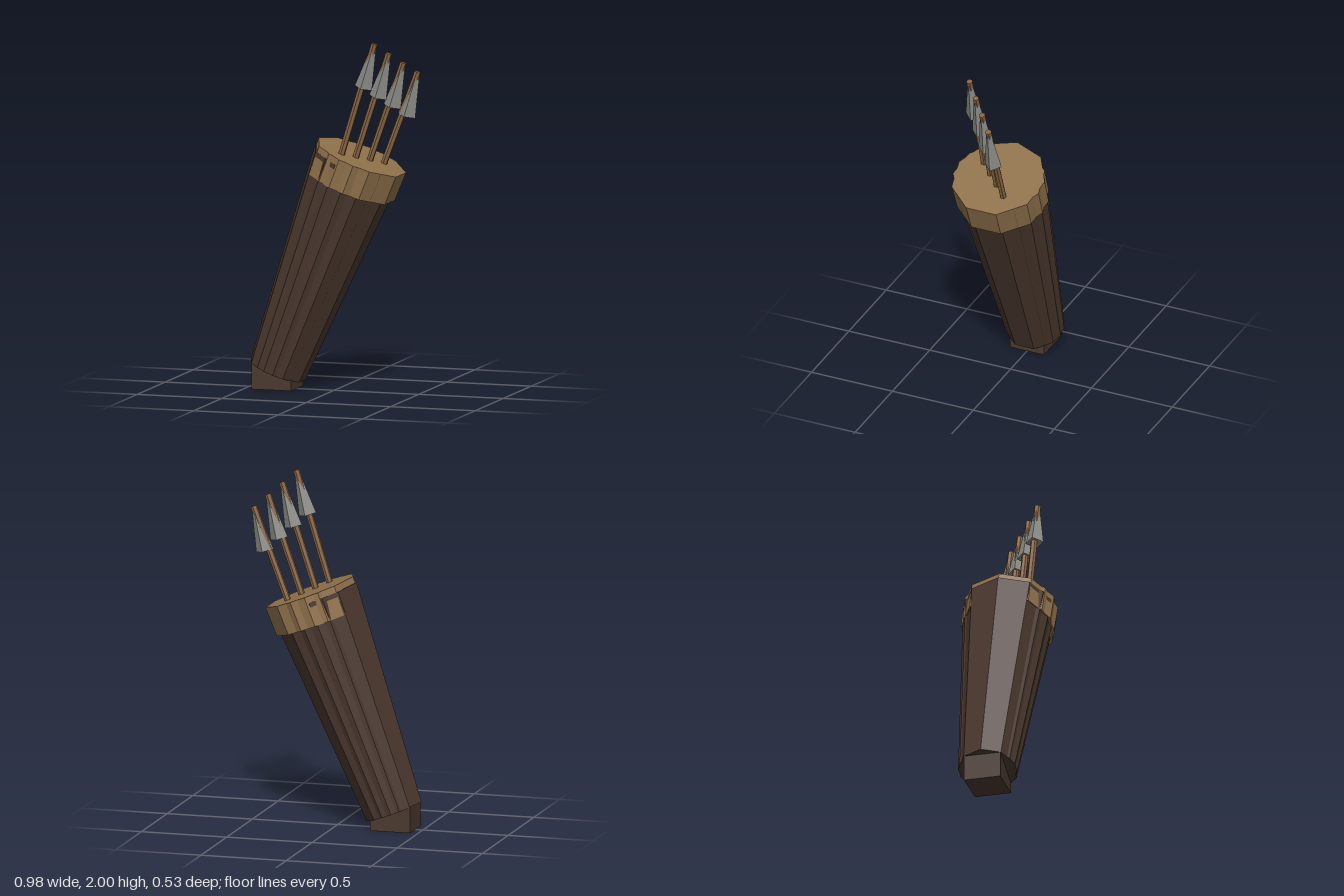
import * as THREE from 'three';

export function createModel() {
  const mat = (name, color) => {
    const m = new THREE.MeshStandardMaterial({ color, flatShading: true });
    m.name = name;
    return m;
  };
  const leather = mat('dark leather', 0x4a382e);
  const trim = mat('tan trim', 0x8f714b);
  const wood = mat('shaft wood', 0x8b6642);
  const steel = mat('steel', 0x8e8f89);

  const model = new THREE.Group();
  model.name = 'quiver';

  const add = (parent, name, geometry, material) => {
    const mesh = new THREE.Mesh(geometry, material);
    mesh.name = name;
    parent.add(mesh);
    return mesh;
  };

  // Leaning case: each nine-sided shell is crossed by a squashed one turned half round
  const caseGroup = new THREE.Group();
  caseGroup.name = 'case';
  caseGroup.rotation.z = THREE.MathUtils.degToRad(-21.3);
  model.add(caseGroup);

  const shell = (name, rTop, rBottom, v0, v1, u, material) => {
    [[-1, 1], [1, 0.9]].forEach(([side, squash], i) => {
      const g = new THREE.CylinderGeometry(rTop, rBottom, v1 - v0, 9, 1, false, side * Math.PI / 2);
      g.scale(squash, 1, 1);
      add(caseGroup, name + (i ? 'Ribs' : ''), g, material).position.set(u, (v0 + v1) / 2, 0);
    });
  };
  shell('body', 0.262, 0.168, -0.028, 1.262, -0.349, leather);
  shell('rim', 0.269, 0.265, 1.126, 1.3, -0.335, trim);

  // Upright block under the case
  add(model, 'foot', new THREE.BoxGeometry(0.235, 0.15, 0.21), leather).position.set(-0.338, 0.075, 0);

  // Cylinder running between two points
  const up = new THREE.Vector3(0, 1, 0);
  const rod = (parent, name, from, to, rFrom, rTo, sides, material) => {
    const dir = to.clone().sub(from);
    const mesh = add(parent, name, new THREE.CylinderGeometry(rTo, rFrom, dir.length(), sides), material);
    mesh.position.copy(from).addScaledVector(dir, 0.5);
    mesh.quaternion.setFromUnitVectors(up, dir.normalize());
  };

  // Four arrows fanned across the mouth
  for (let i = 0; i < 4; i++) {
    const arrow = new THREE.Group();
    arrow.name = 'arrow' + (i + 1);
    model.add(arrow);
    const z = 0.125 - i * 0.068;
    const top = new THREE.Vector3(0.28 + i * 0.063, 1.995 - i * 0.059, z);
    const mouth = new THREE.Vector3(0.085 + i * 0.061, 1.36 - i * 0.024, z);
    const base = mouth.clone().lerp(top, -0.1);
    rod(arrow, 'shaft', base, top, 0.019, 0.019, 6, wood);
    const headBase = top.clone().add(new THREE.Vector3(-0.066, -0.252, 0));
    const headTip = top.clone().add(new THREE.Vector3(-0.003, -0.012, 0));
    rod(arrow, 'head', headBase, headTip, 0.052, 0.014, 4, steel);
  }

  return model;
}
